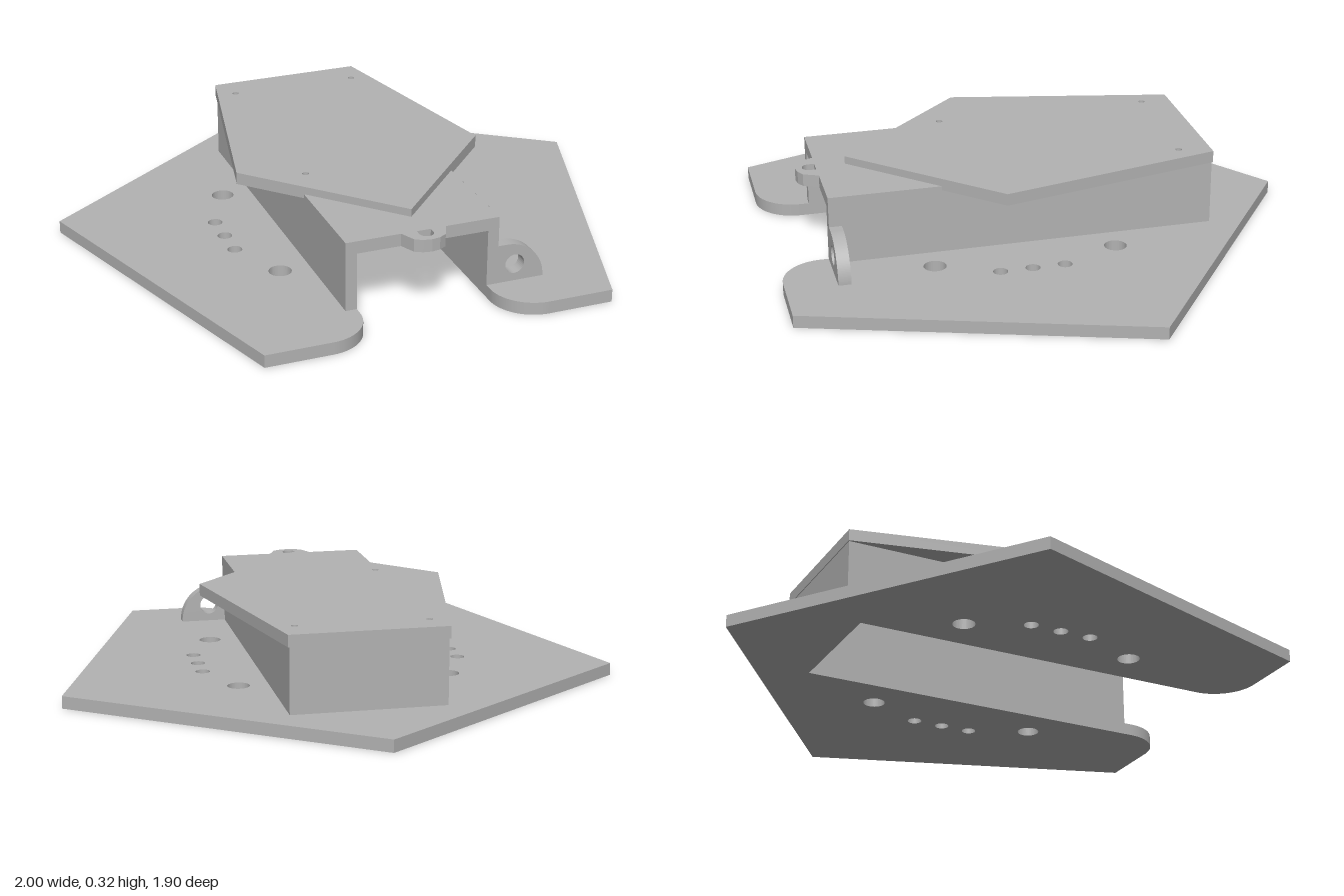
import * as THREE from 'three';

const grey = new THREE.MeshStandardMaterial({ color: 0xb2b2b2 });
grey.name = 'plain grey';

// Outline drawn in plan (x, z); the shape's y is -z so that it lies flat later
function plan(points) {
  return new THREE.Shape(points.map(([x, z]) => new THREE.Vector2(x, -z)));
}

function addHole(shape, x, y, r) {
  const hole = new THREE.Path();
  hole.absarc(x, y, r, 0, Math.PI * 2, true);
  shape.holes.push(hole);
}

function extrude(name, shape, depth) {
  const geometry = new THREE.ExtrudeGeometry(shape, { depth, bevelEnabled: false, curveSegments: 20 });
  const mesh = new THREE.Mesh(geometry, grey);
  mesh.name = name;
  return mesh;
}

// Horizontal plate between two heights
function plate(name, shape, y0, y1) {
  const mesh = extrude(name, shape, y1 - y0);
  mesh.geometry.rotateX(-Math.PI / 2);
  mesh.position.y = y0;
  return mesh;
}

export function createModel() {
  const group = new THREE.Group();
  group.name = 'mountingBracket';
  const inner = 0.235, outer = 0.275, front = 0.767, slotEnd = -0.55;

  // Pentagonal base with an open slot and rounded slot mouth
  const base = new THREE.Shape();
  const r = 0.15;
  base.moveTo(0, 0.95);
  base.lineTo(-1, 0.228);
  base.lineTo(-0.618, -0.947);
  base.lineTo(-inner - r, -0.947);
  base.absarc(-inner - r, -0.947 + r, r, -Math.PI / 2, 0, false);
  base.lineTo(-inner, -slotEnd);
  base.lineTo(inner, -slotEnd);
  base.lineTo(inner, -0.947 + r);
  base.absarc(inner + r, -0.947 + r, r, Math.PI, Math.PI * 1.5, false);
  base.lineTo(0.618, -0.947);
  base.lineTo(1, 0.228);
  base.closePath();
  for (const side of [-1, 1]) {
    for (const z of [-0.23, 0.42]) addHole(base, side * 0.382, -z, 0.04);
    for (const z of [-0.02, 0.095, 0.21]) addHole(base, side * 0.477, -z, 0.026);
  }
  group.add(plate('basePlate', base, 0, 0.045));

  // Channel housing: U-shaped walls and a roof
  const walls = plan([
    [-outer, front], [-inner, front], [-inner, slotEnd], [inner, slotEnd],
    [inner, front], [outer, front], [outer, -0.617], [-outer, -0.617],
  ]);
  group.add(plate('housingWalls', walls, 0.045, 0.25));
  const roof = plan([[-outer, front], [outer, front], [outer, -0.617], [-outer, -0.617]]);
  group.add(plate('housingRoof', roof, 0.25, 0.295));

  // Front tab with a round-ended eye
  const tab = plan([
    [-0.08, front], [-0.056, 0.82], [-0.03, 0.835], [0, 0.84],
    [0.03, 0.835], [0.056, 0.82], [0.08, front],
  ]);
  const eye = new THREE.Path();
  eye.moveTo(-0.025, -front - 0.001);
  eye.lineTo(-0.025, -0.79);
  eye.absarc(0, -0.79, 0.025, Math.PI, Math.PI * 2, false);
  eye.lineTo(0.025, -front - 0.001);
  eye.closePath();
  tab.holes.push(eye);
  group.add(plate('frontTab', tab, 0.25, 0.295));

  // Upright side lug with a round eye
  const lug = new THREE.Shape();
  lug.moveTo(outer, 0.045);
  lug.lineTo(0.445, 0.045);
  lug.absarc(0.307, 0.047, 0.138, 0, Math.PI / 2, false);
  lug.lineTo(outer, 0.185);
  lug.closePath();
  addHole(lug, 0.338, 0.108, 0.035);
  const sideLug = extrude('sideLug', lug, 0.045);
  sideLug.position.z = front - 0.045;
  group.add(sideLug);

  // Pentagonal top plate with three pin holes
  const top = plan([[-0.28, -0.62], [-0.454, 0.178], [0, 0.662], [0.454, 0.178], [0.28, -0.62]]);
  for (const [x, z] of [[-0.233, -0.513], [0.235, -0.505], [-0.233, 0.27]]) addHole(top, x, -z, 0.012);
  group.add(plate('topPlate', top, 0.28, 0.323));

  return group;
}
